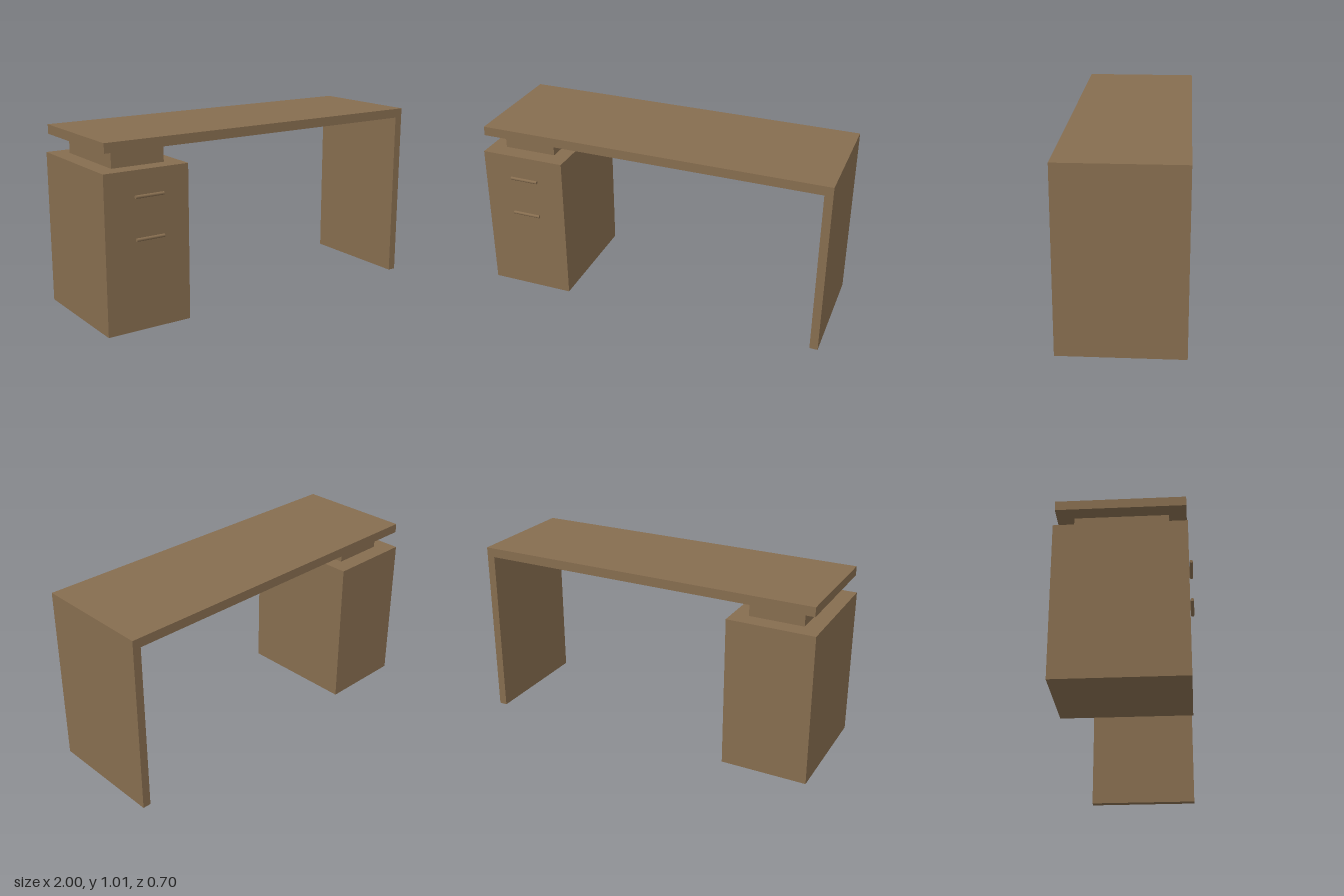
import * as THREE from 'three';

export function createModel() {
  const group = new THREE.Group();
  group.name = 'desk';
  const wood = new THREE.MeshStandardMaterial({ color: 0x866d4f });
  wood.name = 'brown wood';

  const add = (name, geometry, x = 0, y = 0, z = 0) => {
    const mesh = new THREE.Mesh(geometry, wood);
    mesh.name = name;
    mesh.position.set(x, y, z);
    group.add(mesh);
    return mesh;
  };
  // Box given by its lower and upper corners
  const box = (name, [x0, y0, z0], [x1, y1, z1]) =>
    add(name, new THREE.BoxGeometry(x1 - x0, y1 - y0, z1 - z0),
      (x0 + x1) / 2, (y0 + y1) / 2, (z0 + z1) / 2);

  // Desktop and side panel: one L-shaped slab
  const outline = new THREE.Shape([
    [0.95, 0], [0.996, 0], [0.996, 1.012], [-0.987, 1.012], [-0.987, 0.96], [0.95, 0.96],
  ].map(([x, y]) => new THREE.Vector2(x, y)));
  add('desktopAndSidePanel',
    new THREE.ExtrudeGeometry(outline, { depth: 0.668, bevelEnabled: false }), 0, 0, -0.343);

  // Drawer cabinet and the riser that carries the desktop
  box('drawerCabinet', [-1, 0.01, -0.348], [-0.515, 0.86, 0.33]);
  box('riser', [-0.907, 0.86, -0.253], [-0.604, 0.96, 0.235]);

  // Drawer handles: thin horizontal bars
  for (const [name, y] of [['upperHandle', 0.725], ['lowerHandle', 0.502]]) {
    const handle = add(name, new THREE.CylinderGeometry(0.009, 0.009, 0.162, 12), -0.75, y, 0.341);
    handle.rotation.z = Math.PI / 2;
  }
  return group;
}
